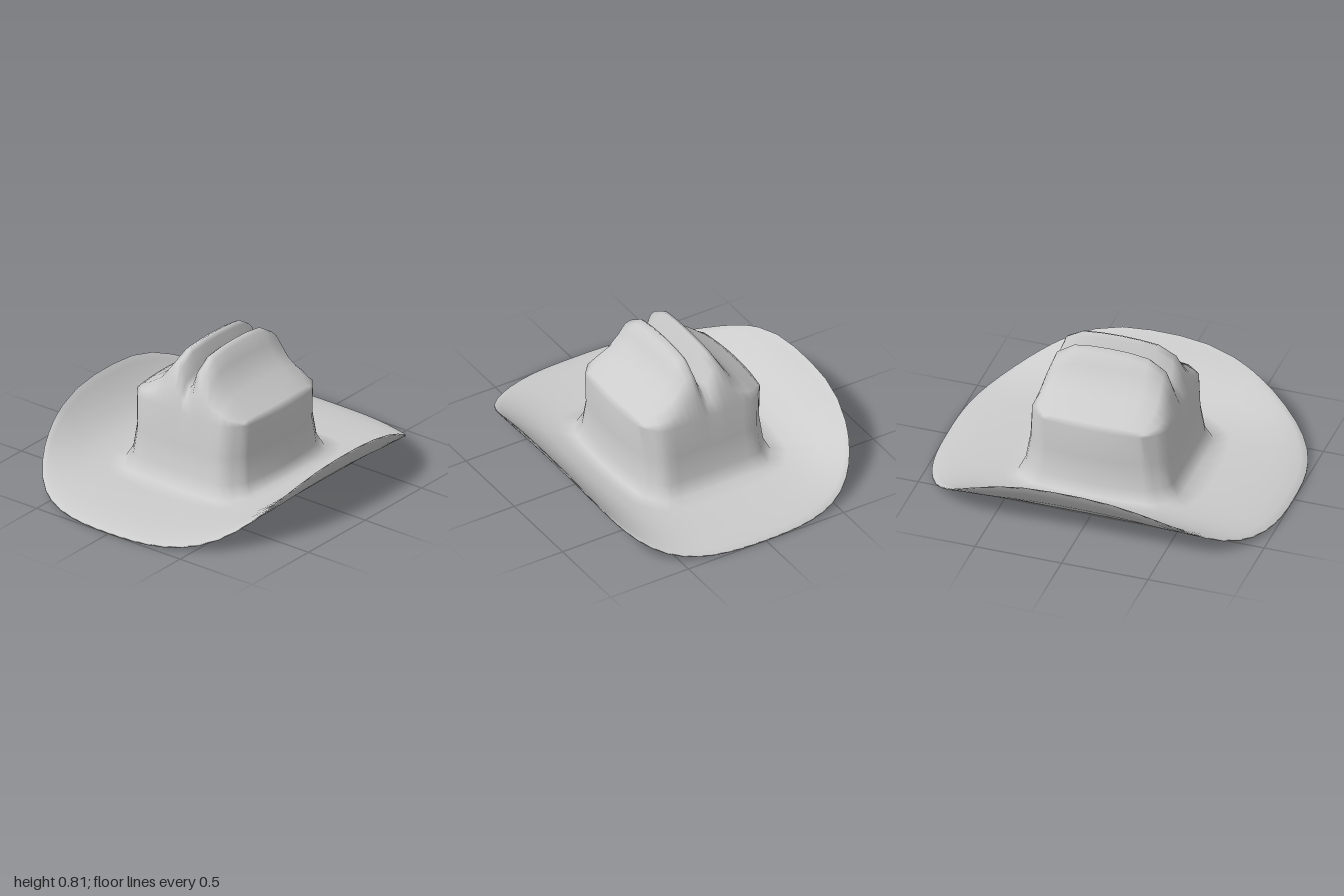
import * as THREE from 'three';

const CZ = -0.03; // crown centre along z
const WIDTH = 0.84, POWER = 2.75; // brim half width and squareness

// half of the crown's cross profile: x, height
const half = [[0, 0.65], [0.02, 0.685], [0.045, 0.795], [0.068, 0.815], [0.1, 0.797], [0.138, 0.73],
  [0.18, 0.66], [0.24, 0.61], [0.3, 0.565], [0.34, 0.538], [0.375, 0.513], [0.41, 0.49]];
const profile = [...half.slice(1).reverse().map(([x, y]) => [-x, y]), ...half];

// half of the crown's lengthwise fall-off: position, share of the height
const fallHalf = [[0, 1], [0.28, 0.99], [0.55, 0.95], [0.8, 0.76], [0.92, 0.38], [1, 0]];
const fall = [...fallHalf.slice(1).reverse().map(([v, e]) => [-v, e]), ...fallHalf];

const EAVE = 0.49;

// underside height of the brim: curled up at the sides, arched lengthwise
const brimY = (x, z) => {
  const s = Math.abs(x) / WIDTH;
  return 0.003 + 0.034 * (1 - z * z) + 0.04 * s ** 2 + 0.26 * s ** 6;
};

// point on the brim's outline in the direction of (x, z), widest a little behind the middle
function brimEdge(x, z) {
  const k = Math.pow(Math.pow(Math.abs(x) / WIDTH, POWER) + Math.pow(Math.abs(z), POWER), -1 / POWER);
  return [x * k, z * k - 0.05 * (1 - (z * k) ** 2)];
}

// point on the octagonal head opening in the direction of (x, z)
function openingEdge(x, z) {
  const ax = Math.abs(x), az = Math.abs(z);
  const k = 1 / Math.max(ax / 0.4, az / 0.43, (0.15 * ax + 0.19 * az) / 0.112);
  return [x * k, z * k];
}

function makeGeometry(positions, indices) {
  const g = new THREE.BufferGeometry();
  g.setAttribute('position', new THREE.Float32BufferAttribute(positions, 3));
  g.setIndex(indices);
  g.computeVertexNormals();
  return g;
}

// joins two closed rings of vertex indices
function joinRings(indices, a, b) {
  for (let k = 0; k < a.length; k++) {
    const n = (k + 1) % a.length;
    indices.push(a[k], b[k], b[n], a[k], b[n], a[n]);
  }
}

export function createModel() {
  const group = new THREE.Group();
  group.name = 'hat';
  const material = new THREE.MeshStandardMaterial({ color: 0xcccccc });
  const pos = [], idx = [];
  const add = (x, y, z) => pos.push(x, y, z) / 3 - 1;

  // crown top: gable running lengthwise, its middle crease spreading towards both ends
  const nx = profile.length, nz = fall.length;
  const grid = profile.map(([x, h]) => {
    const side = Math.abs(x) / 0.41;
    const depth = 0.39 - 0.1 * Math.max(0, (Math.abs(x) - 0.28) / 0.13);
    return fall.map(([v, e]) => {
      const z = v * depth;
      const spread = 1 + 0.5 * v ** 4 * (1 - side);
      const bulge = 1 - 0.07 * (z / 0.3) ** 2 * side;
      return add(x * spread * bulge, EAVE + (h - EAVE) * e, CZ + z);
    });
  });
  for (let i = 0; i < nx - 1; i++) {
    for (let j = 0; j < nz - 1; j++) {
      const a = grid[i][j], b = grid[i][j + 1], c = grid[i + 1][j + 1], d = grid[i + 1][j];
      idx.push(a, b, c, a, c, d);
    }
  }

  // eave outline, walked round from the front
  const eave = [];
  for (let i = 0; i < nx - 1; i++) eave.push(grid[i][nz - 1]);
  for (let j = nz - 1; j > 0; j--) eave.push(grid[nx - 1][j]);
  for (let i = nx - 1; i > 0; i--) eave.push(grid[i][0]);
  for (let j = 0; j < nz - 1; j++) eave.push(grid[0][j]);
  const outline = eave.map(k => [pos[3 * k], pos[3 * k + 2] - CZ]);

  let last = eave;
  const addRing = fn => {
    const ring = outline.map(([x, z]) => add(...fn(x, z)));
    joinRings(idx, last, ring);
    last = ring;
  };

  // crown walls, flaring at the foot
  for (const [y, sx, sz] of [[0.3, 0.97, 1.03], [0.15, 1.01, 1.09]]) {
    addRing((x, z) => [x * sx, y, CZ + z * sz]);
  }

  // brim: top surface outwards, then underside back to the opening
  const brimRing = (t, start, thickness) => addRing((x, z) => {
    const [sx, sz] = start(x, z);
    const [ex, ez] = brimEdge(x, z + CZ);
    const px = sx + (ex - sx) * t, pz = CZ + sz + (ez - CZ - sz) * t;
    return [px, brimY(px, pz) + thickness, pz];
  });
  const foot = (x, z) => [x * 1.09, z * 1.19];
  const steps = [0, 0.2, 0.4, 0.6, 0.8, 0.93, 1];
  steps.forEach(t => brimRing(t, foot, 0.035 - 0.025 * t ** 8));
  [...steps].reverse().forEach(t => brimRing(t, openingEdge, 0));

  const body = new THREE.Mesh(makeGeometry(pos, idx), material);
  body.name = 'crownAndBrim';
  group.add(body);

  // head opening: tapered walls and flat ceiling
  const opening = outline.map(([x, z]) => openingEdge(x, z));
  const liningPos = [], liningIdx = [], n = opening.length;
  for (const [x, z] of opening) liningPos.push(x, brimY(x, CZ + z), CZ + z);
  for (const [x, z] of opening) liningPos.push(x * 0.68, 0.27, CZ + z * 0.68);
  liningPos.push(0, 0.27, CZ);
  const lower = opening.map((_, k) => k), upper = lower.map(k => k + n);
  joinRings(liningIdx, lower, upper);
  upper.forEach((k, i) => liningIdx.push(k, 2 * n, upper[(i + 1) % n]));
  const liningGeometry = makeGeometry(liningPos, liningIdx).toNonIndexed();
  liningGeometry.computeVertexNormals();
  const lining = new THREE.Mesh(liningGeometry, material);
  lining.name = 'headOpening';
  group.add(lining);

  return group;
}
